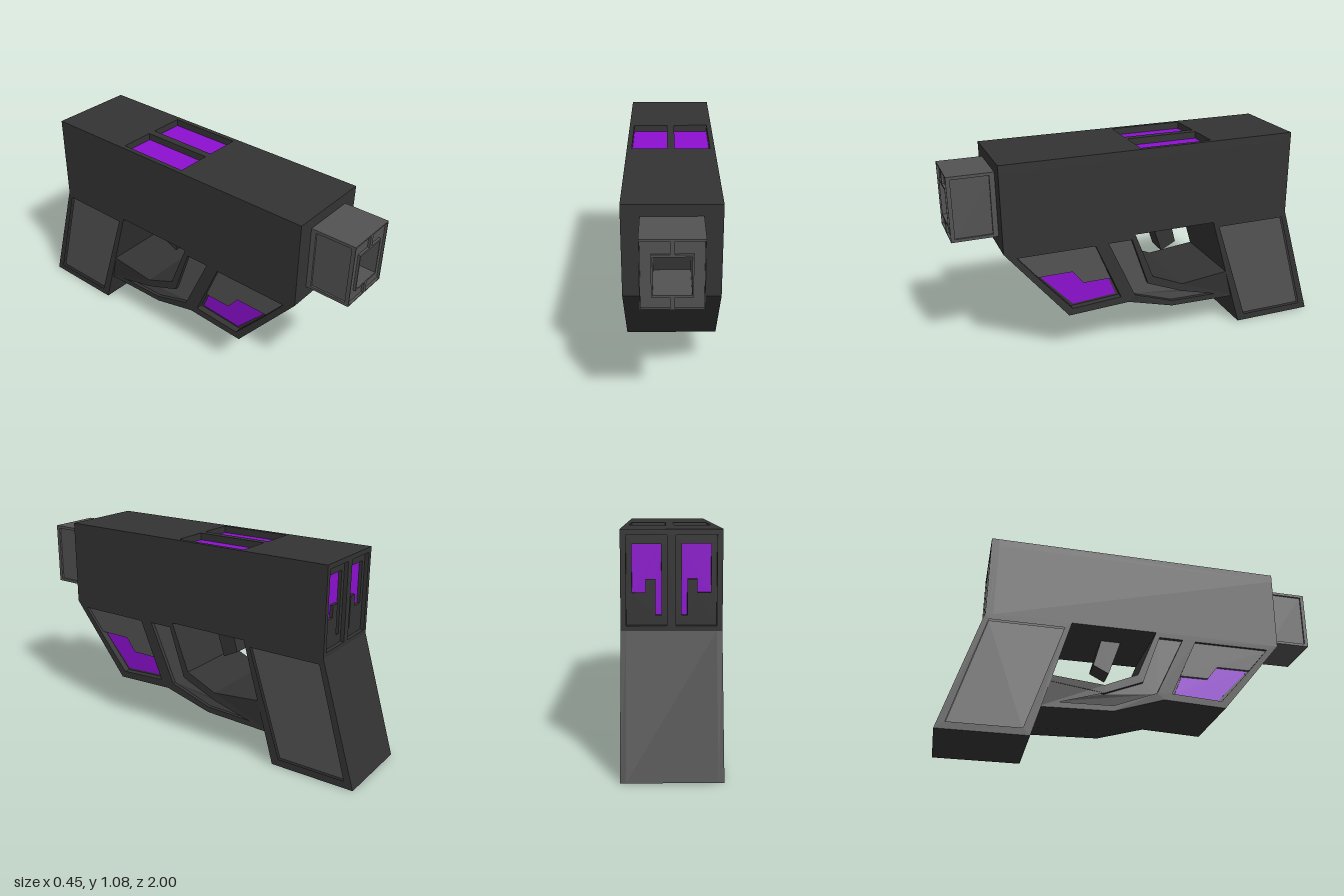
import * as THREE from 'three';

const material = (color) => new THREE.MeshStandardMaterial({ color, flatShading: true });
const toShape = (pts, holes = []) => {
  const shape = new THREE.Shape(pts.map(([a, b]) => new THREE.Vector2(a, b)));
  holes.forEach((h) => shape.holes.push(new THREE.Path(h.map(([a, b]) => new THREE.Vector2(a, b)))));
  return shape;
};
const slab = (pts, holes, depth) =>
  new THREE.ExtrudeGeometry(toShape(pts, holes), { depth, bevelEnabled: false });
const rect = (a0, b0, a1, b1) => [[a0, b0], [a1, b0], [a1, b1], [a0, b1]];
const flip = (pts) => pts.map(([a, b]) => [-a, b]);

// Outline in (z, y), thickness along x
const alongX = (pts, holes, x0, x1) =>
  slab(pts, holes, x1 - x0).rotateY(-Math.PI / 2).translate(x1, 0, 0);
// Outline in (x, z), thickness along y
const alongY = (pts, holes, y0, y1) =>
  slab(pts, holes, y1 - y0).rotateX(Math.PI / 2).translate(0, y1, 0);
// Outline in (x, y), thickness along z
const alongZ = (pts, holes, z0, z1) => slab(pts, holes, z1 - z0).translate(0, 0, z0);

// The trigger guard narrows slightly toward its underside
const taper = (geo) => {
  const p = geo.attributes.position;
  for (let i = 0; i < p.count; i++) {
    if (p.getY(i) < 0.24 && p.getZ(i) < 0.1) p.setX(i, p.getX(i) * 0.93);
  }
  geo.computeVertexNormals();
  return geo;
};

export function createModel() {
  const model = new THREE.Group();
  const dark = material(0x333333);
  const grey = material(0x525252);
  const purple = material(0x8c0fcf);
  const W = 0.225;

  const add = (name, geo, mat, parent = model) => {
    const mesh = new THREE.Mesh(geo, mat);
    mesh.name = name;
    parent.add(mesh);
    return mesh;
  };
  const group = (name) => {
    const g = new THREE.Group();
    g.name = name;
    model.add(g);
    return g;
  };
  // The same slab on both flanks
  const flanks = (name, pts, holes, x0, x1, mat, parent, rule = (g) => g) => {
    add(name + 'Left', rule(alongX(pts, holes, x0, x1)), mat, parent);
    add(name + 'Right', rule(alongX(pts, holes, -x1, -x0)), mat, parent);
  };

  // Slide: solid core, top plate with two windows, layered rear plate
  const slide = group('slide');
  add('slideCore', alongX(rect(-0.77, 0.63, 0.77, 1.04), [], -W, W), dark, slide);
  const topWindow = rect(0.02, -0.345, 0.2, 0.045);
  add('topPlate', alongY(rect(-W, -0.77, W, 0.77), [topWindow, flip(topWindow)], 1.04, 1.08), dark, slide);
  const rearWindow = rect(0.02, 0.655, 0.2, 1.055);
  const rearLight = [[0.045, 0.7], [0.07, 0.7], [0.07, 0.86], [0.115, 0.86],
    [0.115, 0.8], [0.175, 0.8], [0.175, 1.015], [0.045, 1.015]];
  const rear = rect(-W, 0.63, W, 1.08);
  add('rearRim', alongZ(rear, [rearWindow, flip(rearWindow)], -0.81, -0.79), dark, slide);
  add('rearPlate', alongZ(rear, [rearLight, flip(rearLight)], -0.79, -0.77), dark, slide);
  [1, -1].forEach((s) => {
    const side = s > 0 ? 'Left' : 'Right';
    const place = (pts) => (s > 0 ? pts : flip(pts));
    add('topLight' + side, alongY(place(topWindow), [], 1.035, 1.044), purple, slide);
    add('rearLight' + side, alongZ(place(rearLight), [], -0.774, -0.765), purple, slide);
  });

  // Muzzle: square tube with recessed face and sides
  const muzzle = group('muzzle');
  const bore = rect(-0.083, 0.765, 0.083, 0.945);
  add('muzzleTube', alongZ(rect(-0.13, 0.695, 0.13, 1.025), [bore], 0.77, 0.988), grey, muzzle);
  const bracket = [[0.01, 0.7], [0.135, 0.7], [0.135, 1.017], [0.01, 1.017],
    [0.01, 0.955], [0.09, 0.955], [0.09, 0.756], [0.01, 0.756]];
  add('muzzleFace', alongZ(rect(-0.14, 0.695, 0.14, 1.025), [bore, bracket, flip(bracket)], 0.988, 1), grey, muzzle);
  flanks('muzzleSide', rect(0.77, 0.695, 0.988, 1.025), [rect(0.795, 0.71, 0.98, 1.01)], 0.13, 0.14, grey, muzzle);

  // Lower frame: front block running into the trigger guard
  const frame = group('frame');
  const frameOutline = [[0.77, 0.63], [0.45, 0.235], [0.12, 0.25], [-0.14, 0.17], [-0.52, 0.16],
    [-0.457, 0.327], [-0.19, 0.3], [-0.018, 0.375], [0.083, 0.632]];
  const frontPanel = [[0.705, 0.6], [0.298, 0.6], [0.164, 0.288], [0.43, 0.272], [0.6, 0.47]];
  const guardPanel = [[0.228, 0.603], [0.1, 0.603], [0.01, 0.338], [-0.19, 0.257],
    [-0.47, 0.295], [-0.5, 0.19], [-0.14, 0.2], [0.084, 0.284]];
  const upperInset = [[0.705, 0.6], [0.298, 0.6], [0.215, 0.4], [0.365, 0.4], [0.42, 0.472], [0.6, 0.472]];
  const frontLight = [[0.593, 0.472], [0.42, 0.472], [0.365, 0.4], [0.223, 0.4], [0.185, 0.3], [0.42, 0.284]];
  add('frameCore', taper(alongX(frameOutline, [], -0.19, 0.19)), dark, frame);
  flanks('frameRim', frameOutline, [frontPanel, guardPanel], 0.19, W, dark, frame, taper);
  flanks('frontInset', upperInset, [], 0.188, 0.21, grey, frame);
  flanks('frontLight', frontLight, [], 0.185, 0.195, purple, frame);
  flanks('guardInset', guardPanel, [], 0.188, 0.205, grey, frame, taper);

  // Keel-shaped underside of the guard
  const keel = new THREE.PlaneGeometry(1, 1, 4, 2);
  const xs = [-1, -0.7, 0, 0.7, 1];
  const stations = [[0.12, W, 0.25, 0.25], [-0.14, 0.209, 0.17, 0.138], [-0.52, 0.209, 0.16, 0.125]];
  stations.forEach(([z, w, edge, mid], r) => xs.forEach((x, c) => {
    keel.attributes.position.setXYZ(r * 5 + c, x * w, mid + (edge - mid) * Math.abs(x), z);
  }));
  keel.computeVertexNormals();
  const keelMaterial = dark.clone();
  keelMaterial.side = THREE.DoubleSide;
  add('guardKeel', keel, keelMaterial, frame);

  // Trigger
  add('trigger', alongX([[-0.072, 0.635], [-0.136, 0.44], [-0.22, 0.482], [-0.18, 0.635]], [], -0.06, 0.06), dark);

  // Raked grip with inset side panels
  const grip = group('grip');
  const gripOutline = [[-0.367, 0.632], [-0.55, 0], [-1, 0], [-0.81, 0.632]];
  const gripPanel = [[-0.404, 0.6], [-0.586, 0.037], [-0.95, 0.037], [-0.79, 0.6]];
  add('gripCore', alongX(gripOutline, [], -0.2, 0.2), dark, grip);
  flanks('gripRim', gripOutline, [gripPanel], 0.2, W, dark, grip);
  flanks('gripInset', gripPanel, [], 0.198, 0.208, grey, grip);

  return model;
}
